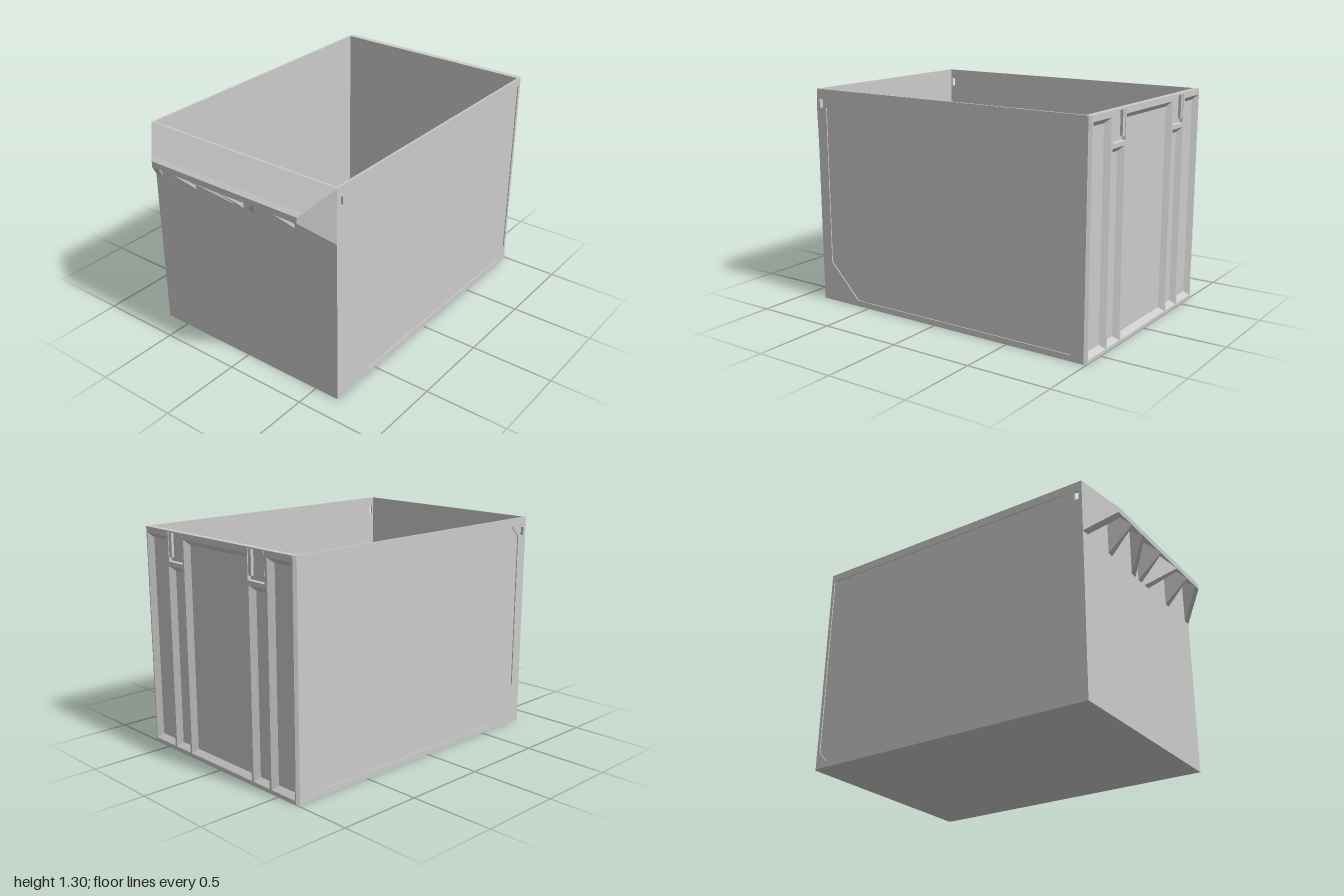
import * as THREE from 'three';

const mat = new THREE.MeshStandardMaterial({ color: 0xcccccc, side: THREE.DoubleSide });
const W = 0.65, H = 1.3, FRONT = 0.855;

function add(parent, name, geometry) {
  const mesh = new THREE.Mesh(geometry, mat);
  mesh.name = name;
  parent.add(mesh);
  return mesh;
}

// Box given by its two opposite corners
function box(parent, name, [x0, y0, z0], [x1, y1, z1]) {
  const g = new THREE.BoxGeometry(x1 - x0, y1 - y0, z1 - z0);
  g.translate((x0 + x1) / 2, (y0 + y1) / 2, (z0 + z1) / 2);
  return add(parent, name, g);
}

const vectors = (points) => points.map(([a, b]) => new THREE.Vector2(a, b));
const rect = (a0, b0, a1, b1) => [[a0, b0], [a1, b0], [a1, b1], [a0, b1]];

function extrude(outline, holes, depth) {
  const shape = new THREE.Shape(vectors(outline));
  for (const h of holes) shape.holes.push(new THREE.Path(vectors(h)));
  return new THREE.ExtrudeGeometry(shape, { depth, bevelEnabled: false });
}

// Outline in (z, y), extruded along +x from x0
function extrudeX(outline, holes, x0, depth) {
  const flip = (pts) => pts.map(([z, y]) => [-z, y]);
  return extrude(flip(outline), holes.map(flip), depth).rotateY(Math.PI / 2).translate(x0, 0, 0);
}

// Move x of every vertex by a rule of x and z
function warpX(g, rule) {
  const p = g.attributes.position;
  for (let i = 0; i < p.count; i++) p.setX(i, rule(p.getX(i), p.getZ(i)));
  g.computeVertexNormals();
  return g;
}

// Recess with sloping borders, sunk into the back
function panGeometry([x0, y0, x1, y1], inset, depth) {
  const outer = rect(x0, y0, x1, y1).map(([x, y]) => [x, y, -1]);
  const inner = rect(x0 + inset, y0 + inset, x1 - inset, y1 - inset).map(([x, y]) => [x, y, -1 + depth]);
  const pos = [];
  const quad = (a, b, c, d) => pos.push(...a, ...c, ...b, ...a, ...d, ...c);
  for (let i = 0; i < 4; i++) {
    const j = (i + 1) % 4;
    quad(outer[i], outer[j], inner[j], inner[i]);
  }
  quad(...inner);
  const g = new THREE.BufferGeometry();
  g.setAttribute('position', new THREE.Float32BufferAttribute(pos, 3));
  g.computeVertexNormals();
  return g;
}

export function createModel() {
  const model = new THREE.Group();
  model.name = 'openBin';

  // Floor and front wall
  box(model, 'floor', [-0.645, 0, -0.97], [0.645, 0.02, FRONT - 0.005]);
  box(model, 'frontWall', [-W, 0, FRONT - 0.012], [W, H, FRONT]);

  // Side walls: raised border around a shallow panel, with a slot near the front
  const panel = [[0.58, 0.035], [-0.905, 0.035], [-0.965, 0.1], [-0.965, 1.25],
    [0.725, 1.25], [0.785, 1.19], [0.785, 0.245]];
  const slot = rect(0.81, 1.19, 0.835, 1.24);
  const sideOutline = rect(-0.985, 0, FRONT - 0.001, H);
  for (const s of [1, -1]) {
    const side = new THREE.Group();
    side.name = s > 0 ? 'leftSide' : 'rightSide';
    model.add(side);
    const t = 0.006;
    add(side, 'sideBorder', extrudeX(sideOutline, [panel, slot], s > 0 ? W - t : -W, t));
    add(side, 'sidePanel', extrudeX(sideOutline, [slot], s > 0 ? W - 2 * t : -W + t, t));
    // Chamfered back corner
    const post = extrude([[s * 0.635, 1], [s * W, 0.985], [s * W, 0.965], [s * 0.635, 0.965]], [], H);
    add(side, 'backCorner', post.rotateX(-Math.PI / 2));
  }

  // Back wall: ribbed frame with recesses of several widths
  const back = new THREE.Group();
  back.name = 'back';
  model.add(back);
  const recesses = [[-0.275, 0.02, 0.275, 1.265]];
  const notches = [];
  for (const s of [1, -1]) {
    const span = (a, b, y0, y1) => [Math.min(s * a, s * b), y0, Math.max(s * a, s * b), y1];
    recesses.push(span(0.29, 0.425, 0.02, 1.1), span(0.44, 0.628, 0.02, 1.265));
    notches.push(span(0.285, 0.42, 1.125, 1.292));
  }
  const holes = [...recesses, ...notches].map((r) => rect(...r));
  add(back, 'backFrame', extrude(rect(-0.635, 0, 0.635, H), holes, 0.03).translate(0, 0, -1));
  box(back, 'backSheet', [-0.64, 0, -0.97], [0.64, H, -0.963]);
  for (const r of recesses) add(back, 'backRecess', panGeometry(r, 0.028, 0.028));
  for (const r of notches) {
    add(back, 'hookNotch', panGeometry(r, 0.004, 0.018));
    const c = (r[0] + r[2]) / 2;
    for (const s of [1, -1]) {
      const x = c + s * 0.052;
      box(back, 'hookGuide', [x - 0.012, 1.15, -0.998], [x + 0.012, 1.29, -0.98]);
    }
  }

  // Tapered pouring lip on the front
  const lip = new THREE.Group();
  lip.name = 'frontLip';
  model.add(lip);
  const taper = 0.14 / 0.145;
  const lipProfile = [[FRONT, 1.265], [1, 1.12], [1, 1.155], [0.975, 1.175], [FRONT, H]];
  add(lip, 'lipSlope', warpX(extrudeX(lipProfile, [], -W, 2 * W),
    (x, z) => x - Math.sign(x) * taper * (z - FRONT)));

  // Gussets under the lip: slanted ones at the ends and middle, straight ones between
  const gussetProfile = [[FRONT, 0.98], [1, 1.12], [FRONT, 1.266]];
  const gusset = (name, x0, width, slant, thin) => add(lip, name,
    warpX(extrudeX(gussetProfile, [], -width / 2, width), (x, z) => {
      const f = (z - FRONT) / 0.145;
      return x0 + x * (1 - f * thin) + slant * taper * (z - FRONT);
    }));
  for (const s of [1, -1]) {
    gusset('endGusset', s * 0.625, 0.05, -s, 0);
    gusset('slantedGusset', s * 0.08, 0.045, s, 0.4);
    gusset('straightGusset', s * 0.352, 0.04, 0, 0.75);
  }
  gusset('middleGusset', 0, 0.04, 0, 0.75);

  return model;
}
